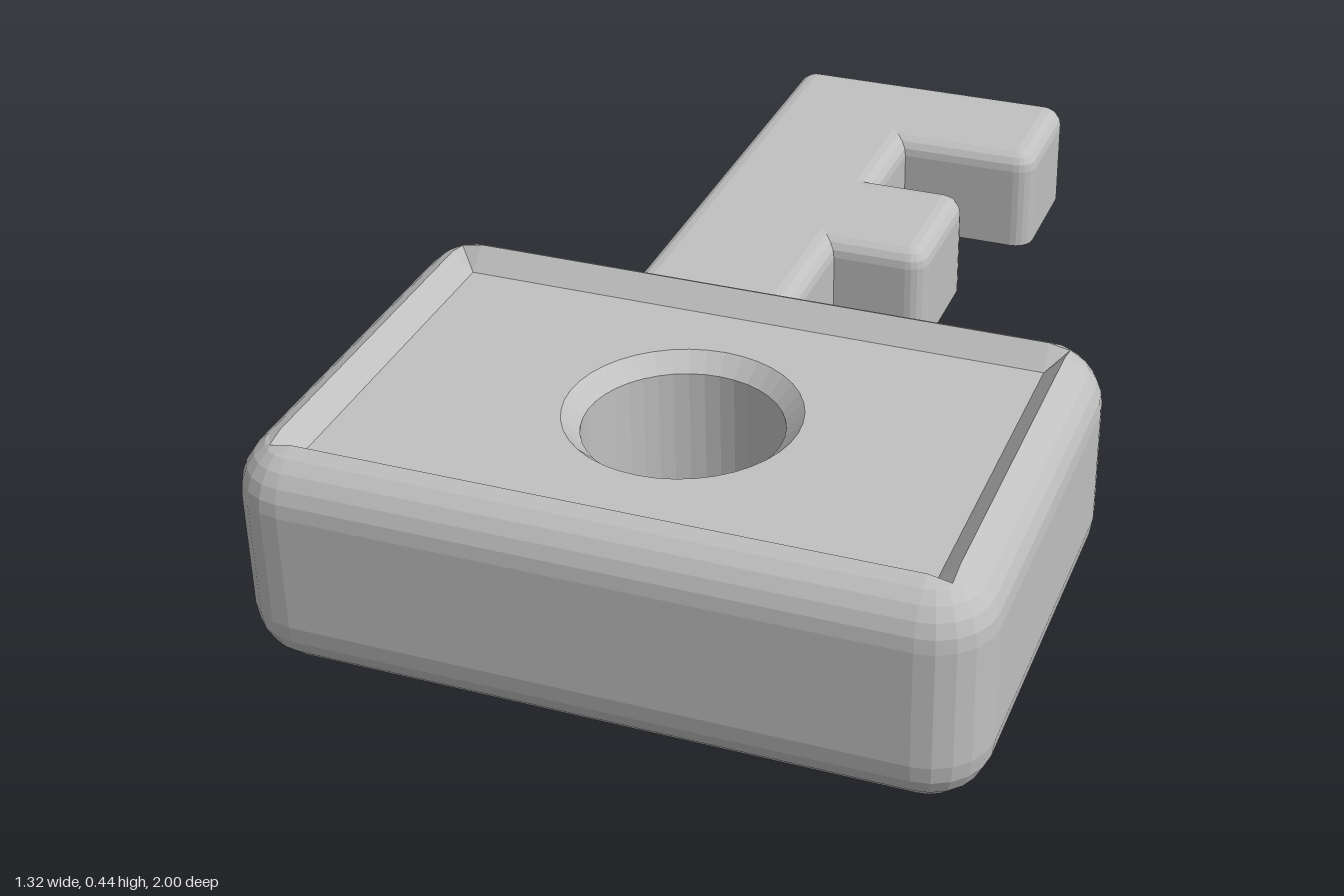
import * as THREE from 'three';

const metal = new THREE.MeshStandardMaterial({ color: 0xc0c0c0 });
metal.name = 'lightGrey';

// Right-angled outline (counter-clockwise seen from above, second coordinate = -z)
// moved inwards by inset; convex corners are rounded unless sharp.
function outline(poly, r, inset, sharp = false, seg = 5) {
  const out = [];
  poly.forEach((p, i) => {
    const d1 = p.clone().sub(poly[(i + poly.length - 1) % poly.length]).normalize();
    const d2 = poly[(i + 1) % poly.length].clone().sub(p).normalize();
    const n1 = new THREE.Vector2(-d1.y, d1.x), n2 = new THREE.Vector2(-d2.y, d2.x);
    const diagonal = n1.clone().add(n2);
    if (d1.cross(d2) < 0) {
      out.push(p.clone().addScaledVector(diagonal, inset));
      return;
    }
    for (let k = 0; k <= seg; k++) {
      const t = (k / seg) * Math.PI / 2;
      out.push(sharp
        ? p.clone().addScaledVector(diagonal, inset)
        : p.clone().addScaledVector(diagonal, r)
          .addScaledVector(n1, -(r - inset) * Math.cos(t))
          .addScaledVector(n2, -(r - inset) * Math.sin(t)));
    }
  });
  return out;
}

function circle(x, w, r, n = 40) {
  return Array.from({ length: n }, (_, i) => {
    const a = (i / n) * Math.PI * 2;
    return new THREE.Vector2(x + r * Math.cos(a), w + r * Math.sin(a));
  });
}

const atHeight = (pts, y) => pts.map(p => new THREE.Vector3(p.x, y, -p.y));

// Faceted skin through a stack of equal-length rings
function loft(rings) {
  const pos = [];
  const tri = (a, b, c) => {
    if (a.distanceTo(b) < 1e-5 || b.distanceTo(c) < 1e-5 || c.distanceTo(a) < 1e-5) return;
    for (const v of [a, b, c]) pos.push(v.x, v.y, v.z);
  };
  for (let k = 0; k + 1 < rings.length; k++) {
    const a = rings[k], b = rings[k + 1];
    for (let i = 0; i < a.length; i++) {
      const j = (i + 1) % a.length;
      tri(a[i], a[j], b[j]);
      tri(a[i], b[j], b[i]);
    }
  }
  const g = new THREE.BufferGeometry();
  g.setAttribute('position', new THREE.Float32BufferAttribute(pos, 3));
  g.computeVertexNormals();
  return g;
}

// Flat horizontal face, optionally with a hole
function cap(pts, y, up, hole) {
  const clean = pts.filter((p, i) => p.distanceTo(pts[(i + 1) % pts.length]) > 1e-5);
  const shape = new THREE.Shape(clean);
  if (hole) shape.holes.push(new THREE.Path(hole));
  const g = new THREE.ShapeGeometry(shape);
  g.rotateX(up ? -Math.PI / 2 : Math.PI / 2);
  if (!up) g.scale(1, 1, -1);
  if (!up) {
    // the mirror above leaves the winding facing up, so reverse it
    const ix = g.index;
    const a = new THREE.Vector3(), b = new THREE.Vector3(), c = new THREE.Vector3();
    for (let i = 0; i < ix.count; i += 3) {
      const [p, q, r] = [0, 1, 2].map(k => ix.getX(i + k));
      a.fromBufferAttribute(g.attributes.position, p);
      b.fromBufferAttribute(g.attributes.position, q).sub(a);
      c.fromBufferAttribute(g.attributes.position, r).sub(a);
      if (b.cross(c).y > 0) {
        ix.setX(i + 1, r);
        ix.setX(i + 2, q);
      }
    }
    g.computeVertexNormals();
  }
  g.translate(0, y, 0);
  return g;
}

const points = list => list.map(([x, z]) => new THREE.Vector2(x, -z));

export function createModel() {
  const model = new THREE.Group();
  model.name = 'key';
  const add = (parent, name, geometry) => {
    const mesh = new THREE.Mesh(geometry, metal);
    mesh.name = name;
    parent.add(mesh);
  };

  // Handle: rounded block with a shallow tray on top and a round through-hole
  const handle = new THREE.Group();
  handle.name = 'handle';
  model.add(handle);
  const R = 0.11, TOP = 0.443, RIM = 0.07, FLOOR = 0.395, STEPS = 5;
  const rect = points([[-0.66, 1], [0.66, 1], [0.66, 0.12], [-0.66, 0.12]]);
  const rings = [];
  for (let k = 0; k <= STEPS; k++) {
    const t = (k / STEPS) * Math.PI / 2;
    rings.push(atHeight(outline(rect, R, R * (1 - Math.sin(t))), R * (1 - Math.cos(t))));
  }
  const rimAngle = Math.acos((R - RIM) / R);
  for (let k = 0; k < STEPS; k++) {
    const t = (k / STEPS) * rimAngle;
    rings.push(atHeight(outline(rect, R, R * (1 - Math.cos(t))), TOP - R * (1 - Math.sin(t))));
  }
  // Square tray edge cut into the rounding, so it dips slightly at the corners
  const rim = outline(rect, R, RIM, true);
  const d = R - RIM;
  rings.push(atHeight(rim, TOP - R + Math.sqrt(R * R - 2 * d * d)));
  const edgeY = TOP - R * (1 - Math.sin(rimAngle));
  const last = rings.length - 1;
  // Straight edges keep full height a short way in from each corner
  const seg = 5;
  rim.forEach((p, i) => {
    const k = i % (seg + 1);
    const v = rings[last][i];
    if (k === 0 || k === seg) {
      const other = rim[(k === 0 ? i - 1 + rim.length : i + 1) % rim.length];
      const dir = other.clone().sub(p).normalize();
      v.set(p.x + dir.x * d, edgeY, -(p.y + dir.y * d));
    }
  });
  const floorOutline = outline(rect, R, 0.107, true);
  rings.push(atHeight(floorOutline, FLOOR));
  add(handle, 'handleShell', loft(rings));

  const holeZ = 0.557;
  const wide = circle(0, -holeZ, 0.21), narrow = circle(0, -holeZ, 0.178);
  add(handle, 'trayFloor', cap(floorOutline, FLOOR, true, wide));
  add(handle, 'handleUnderside', cap(outline(rect, R, R), 0, false, narrow));
  add(handle, 'holeWall', loft([
    atHeight(wide, FLOOR), atHeight(narrow, FLOOR - 0.032), atHeight(narrow, 0),
  ]));

  // Blade: shaft with two teeth, top edges rounded and underside sharp
  const blade = new THREE.Group();
  blade.name = 'blade';
  model.add(blade);
  const r = 0.04, low = 0.115, high = 0.33;
  const profile = points([
    [-0.315, 0.2], [0.01, 0.2], [0.01, -0.235], [0.197, -0.235], [0.197, -0.525],
    [0.01, -0.525], [0.01, -0.717], [0.288, -0.717], [0.288, -1], [-0.315, -1],
  ]);
  const bladeRings = [atHeight(outline(profile, r, 0), low)];
  for (let k = 0; k <= 4; k++) {
    const t = (k / 4) * Math.PI / 2;
    bladeRings.push(atHeight(outline(profile, r, r * (1 - Math.cos(t))), high - r * (1 - Math.sin(t))));
  }
  add(blade, 'bladeSides', loft(bladeRings));
  add(blade, 'bladeTop', cap(outline(profile, r, r), high, true));
  add(blade, 'bladeUnderside', cap(outline(profile, r, 0), low, false));
  return model;
}
